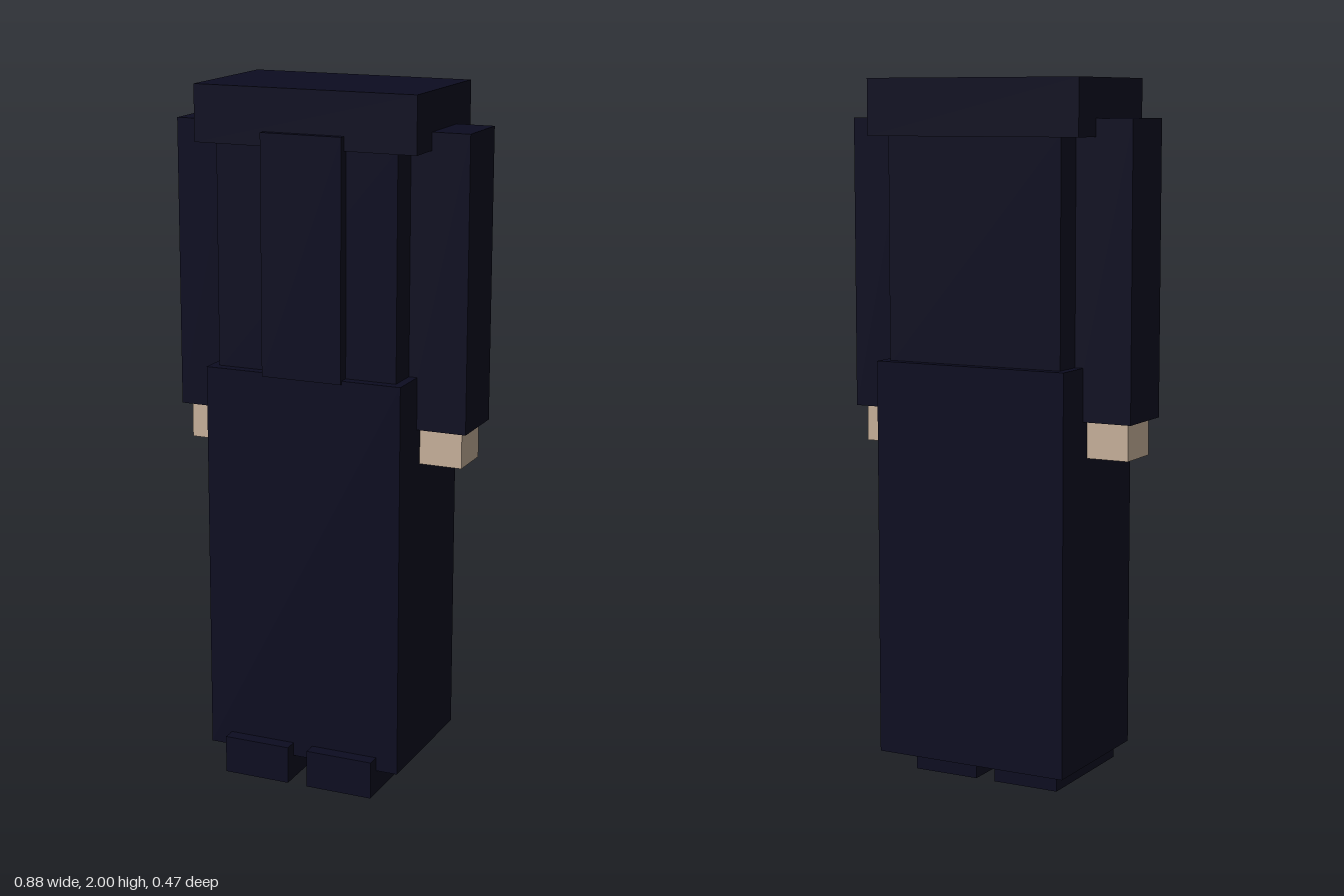
import * as THREE from 'three';

export function createModel() {
  const model = new THREE.Group();
  model.name = 'robedFigure';

  const cloth = new THREE.MeshStandardMaterial({ color: 0x0c0c20 });
  cloth.name = 'dark navy cloth';
  const skin = new THREE.MeshStandardMaterial({ color: 0xc4ae98 });
  skin.name = 'pale skin';

  // Adds a box given its minimum and maximum on each axis
  function addBox(name, material, [x0, x1], [y0, y1], [z0, z1]) {
    const mesh = new THREE.Mesh(new THREE.BoxGeometry(x1 - x0, y1 - y0, z1 - z0), material);
    mesh.position.set((x0 + x1) / 2, (y0 + y1) / 2, (z0 + z1) / 2);
    mesh.name = name;
    model.add(mesh);
  }

  // Adds a box on the model's left and its mirror on the right
  function addPair(name, material, [x0, x1], y, z) {
    addBox('left' + name, material, [x0, x1], y, z);
    addBox('right' + name, material, [-x1, -x0], y, z);
  }

  // Robe: shoulder cape, torso, front panel and long skirt
  addBox('shoulderCape', cloth, [-0.33, 0.33], [1.84, 2], [-0.22, 0.18]);
  addBox('torso', cloth, [-0.27, 0.27], [1.2, 1.85], [-0.205, 0.165]);
  addBox('frontPanel', cloth, [-0.12, 0.12], [1.2, 1.88], [0.16, 0.2]);
  addBox('skirt', cloth, [-0.295, 0.295], [0.07, 1.21], [-0.235, 0.195]);

  // Arms, hands and shoes
  addPair('Sleeve', cloth, [0.265, 0.44], [1.06, 1.89], [-0.115, 0.072]);
  addPair('Hand', skin, [0.29, 0.42], [0.955, 1.065], [-0.088, 0.047]);
  addPair('Shoe', cloth, [0.03, 0.23], [0, 0.11], [-0.14, 0.235]);

  return model;
}
